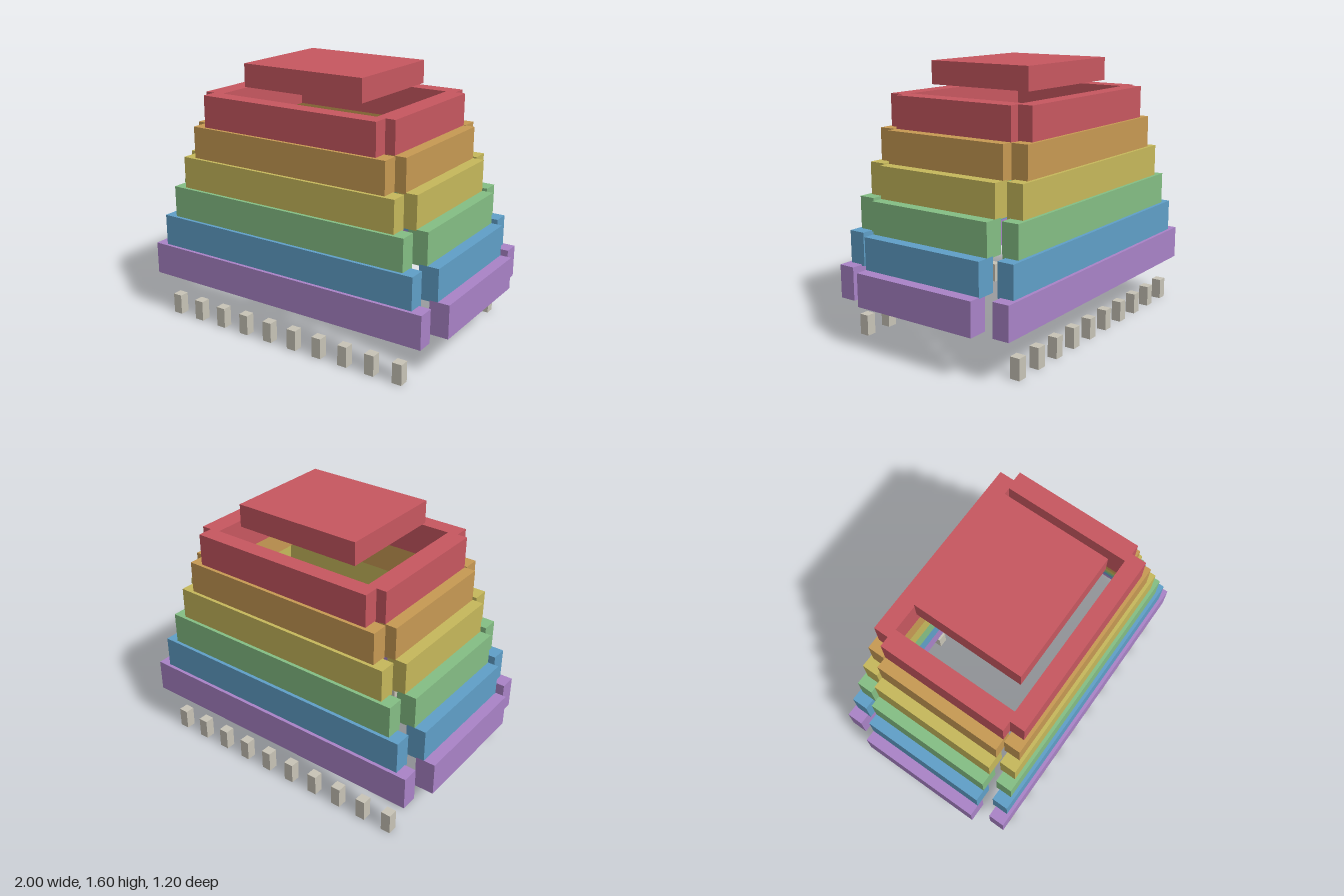
import * as THREE from 'three';

const mat = (name, color) => {
  const m = new THREE.MeshStandardMaterial({ color });
  m.name = name;
  return m;
};

export function createModel() {
  const model = new THREE.Group();
  model.name = 'steppedFrameTower';

  // Tier colours from bottom to top
  const tiers = [
    mat('purple', 0xab84c9),
    mat('blue', 0x61a1ca),
    mat('green', 0x86c086),
    mat('yellow', 0xc8ba5c),
    mat('orange', 0xc99b54),
    mat('red', 0xc95861),
  ];
  const stone = mat('stone', 0xcac6b9);

  const block = (name, material, [w, h, d], [x, y, z]) => {
    const mesh = new THREE.Mesh(new THREE.BoxGeometry(w, h, d), material);
    mesh.name = name;
    mesh.position.set(x, y, z);
    model.add(mesh);
  };

  // Six stepped tiers, each a loose frame of four beams
  const beamH = 0.199;
  tiers.forEach((material, i) => {
    const y = 0.356 + 0.1917 * i;
    const longHalf = 0.938 - 0.0703 * i;
    const longZ = 0.547 - 0.0205 * i;
    const sideX = 0.94 - 0.0704 * i;
    for (const s of [1, -1]) {
      block(s > 0 ? 'frontBeam' : 'backBeam', material, [longHalf * 2, beamH, 0.102], [0, y, s * longZ]);
      block(s > 0 ? 'leftBeam' : 'rightBeam', material, [0.12, beamH, 0.806], [s * sideX, y, 0]);
    }
  });

  // Cap block floating over the opening
  block('capBlock', tiers[5], [0.806, 0.138, 0.684], [0, 1.528, 0]);

  // Rows of small pegs along front and back
  for (let i = 0; i < 10; i++) {
    for (const s of [1, -1]) {
      block(s > 0 ? 'frontPeg' : 'backPeg', stone, [0.06, 0.125, 0.06], [-0.81 + 0.1776 * i, 0.0625, s * 0.548]);
    }
  }

  return model;
}
